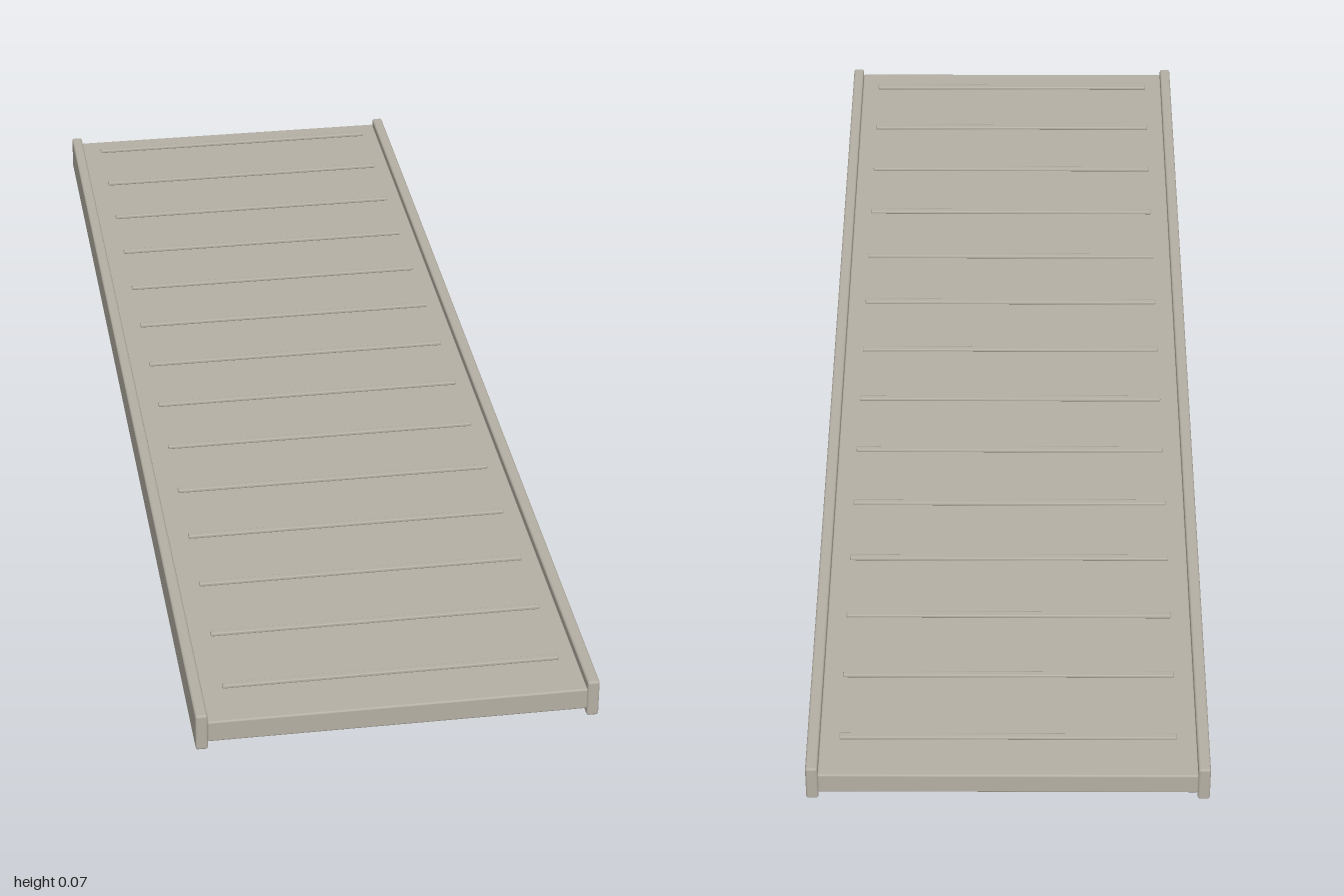
import * as THREE from 'three';
import { RoundedBoxGeometry } from 'three/addons/geometries/RoundedBoxGeometry.js';

export function createModel() {
  const model = new THREE.Group();
  model.name = 'ramp';
  const metal = new THREE.MeshStandardMaterial({ color: 0xb5b0a4 });
  metal.name = 'warm grey metal';

  // Softly bevelled block centred on (x, y, z)
  function block(name, size, position, radius) {
    const mesh = new THREE.Mesh(new RoundedBoxGeometry(...size, 2, radius), metal);
    mesh.name = name;
    mesh.position.set(...position);
    model.add(mesh);
  }

  // Flat walking surface
  block('deck', [0.588, 0.036, 2], [0, 0.032, 0], 0.003);

  // Raised rails along both long edges
  for (const [name, side] of [['leftRail', 1], ['rightRail', -1]]) {
    block(name, [0.019, 0.0625, 2], [side * 0.303, 0.03125, 0], 0.004);
  }

  // Evenly spaced grip bars held just above the deck
  const count = 14, pitch = 2 / count;
  for (let i = 0; i < count; i++) {
    const z = (i - (count - 1) / 2) * pitch;
    block('gripBar' + (i + 1), [0.524, 0.006, 0.011], [0, 0.0655, z], 0.002);
  }
  return model;
}
